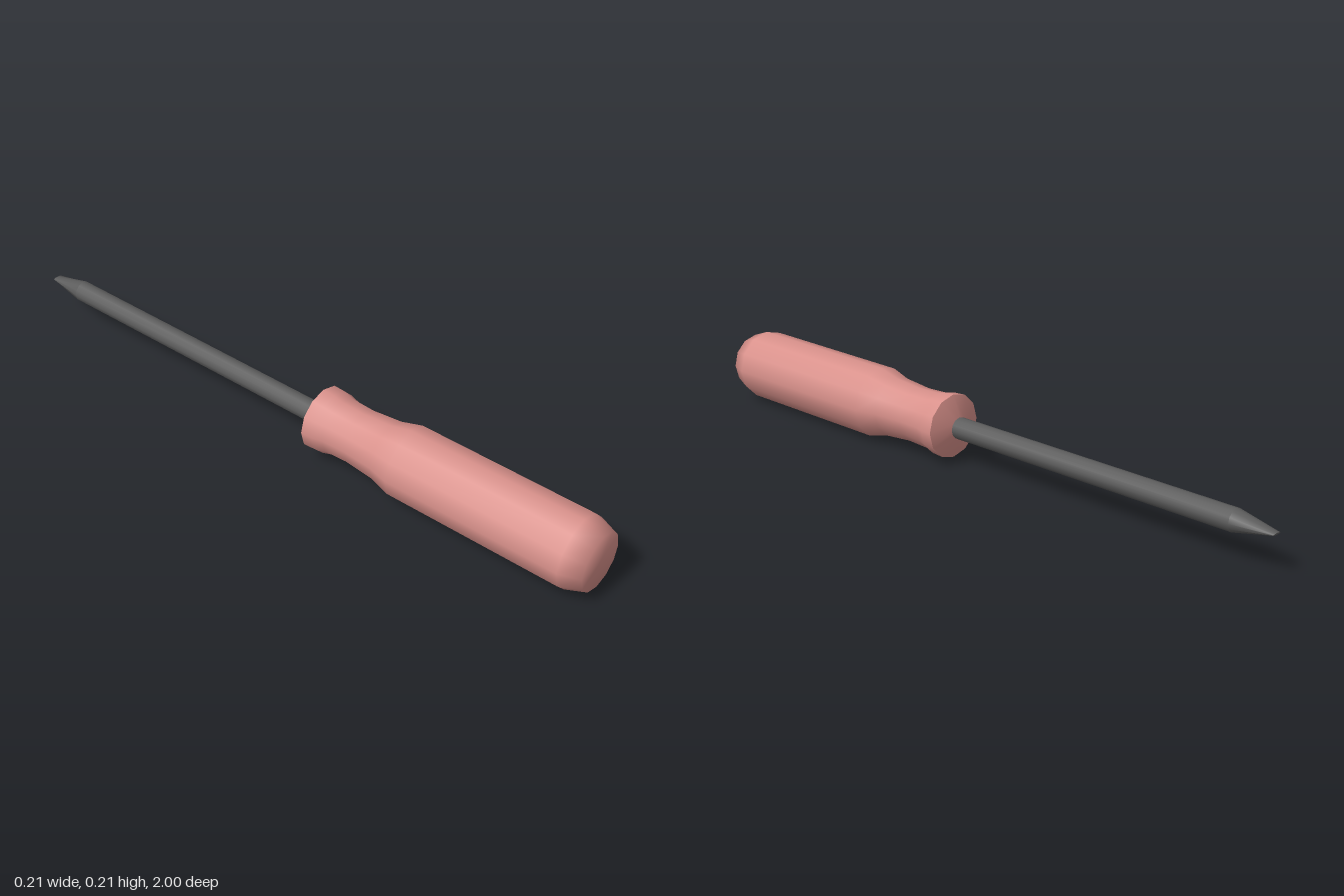
import * as THREE from 'three';
import { mergeVertices } from 'three/addons/utils/BufferGeometryUtils.js';

const SIDES = 12;
const AXIS_Y = 0.107; // height of the tool's axis

// Turned part along z from [z, radius] pairs in order of rising z
function turned(name, profile, material, reshape) {
  const points = profile.map(([z, r]) => new THREE.Vector2(r, z));
  let geometry = new THREE.LatheGeometry(points, SIDES);
  geometry.rotateX(Math.PI / 2);
  if (reshape) {
    reshape(geometry.attributes.position);
    geometry.deleteAttribute('uv');
    geometry.deleteAttribute('normal');
    geometry = mergeVertices(geometry, 1e-5);
    geometry.computeVertexNormals();
  }
  const mesh = new THREE.Mesh(geometry, material);
  mesh.name = name;
  mesh.position.y = AXIS_Y;
  return mesh;
}

// Flatten the far end of the blade to a narrow chisel edge
function flattenEnd(position) {
  for (let i = 0; i < position.count; i++) {
    if (position.getZ(i) > -0.99) continue;
    position.setX(i, position.getX(i) * 0.48);
    position.setY(i, position.getY(i) * 0.07);
  }
}

export function createModel() {
  const model = new THREE.Group();
  model.name = 'screwdriver';
  const plastic = new THREE.MeshStandardMaterial({ color: 0xd9918b });
  const steel = new THREE.MeshStandardMaterial({ color: 0x5c5c5c });

  // Handle: collar, finger groove, grip and bevelled butt
  const handle = new THREE.Group();
  handle.name = 'handle';
  handle.add(
    turned('collarFace', [[0.073, 0], [0.073, 0.034], [0.098, 0.095]], plastic),
    turned('grip', [
      [0.098, 0.095], [0.135, 0.093], [0.165, 0.085], [0.24, 0.082], [0.335, 0.09],
      [0.4, 0.107], [0.94, 0.107], [1, 0.085], [1, 0],
    ], plastic),
  );

  // Blade: round shaft, tapered tip and its flat end
  const R = 0.032;
  const blade = new THREE.Group();
  blade.name = 'blade';
  blade.add(
    turned('shaft', [[-0.88, R], [0.09, R]], steel),
    turned('tip', [[-1, R], [-0.88, R]], steel, flattenEnd),
    turned('tipEnd', [[-1, 0], [-1, R]], steel, flattenEnd),
  );

  model.add(handle, blade);
  return model;
}
